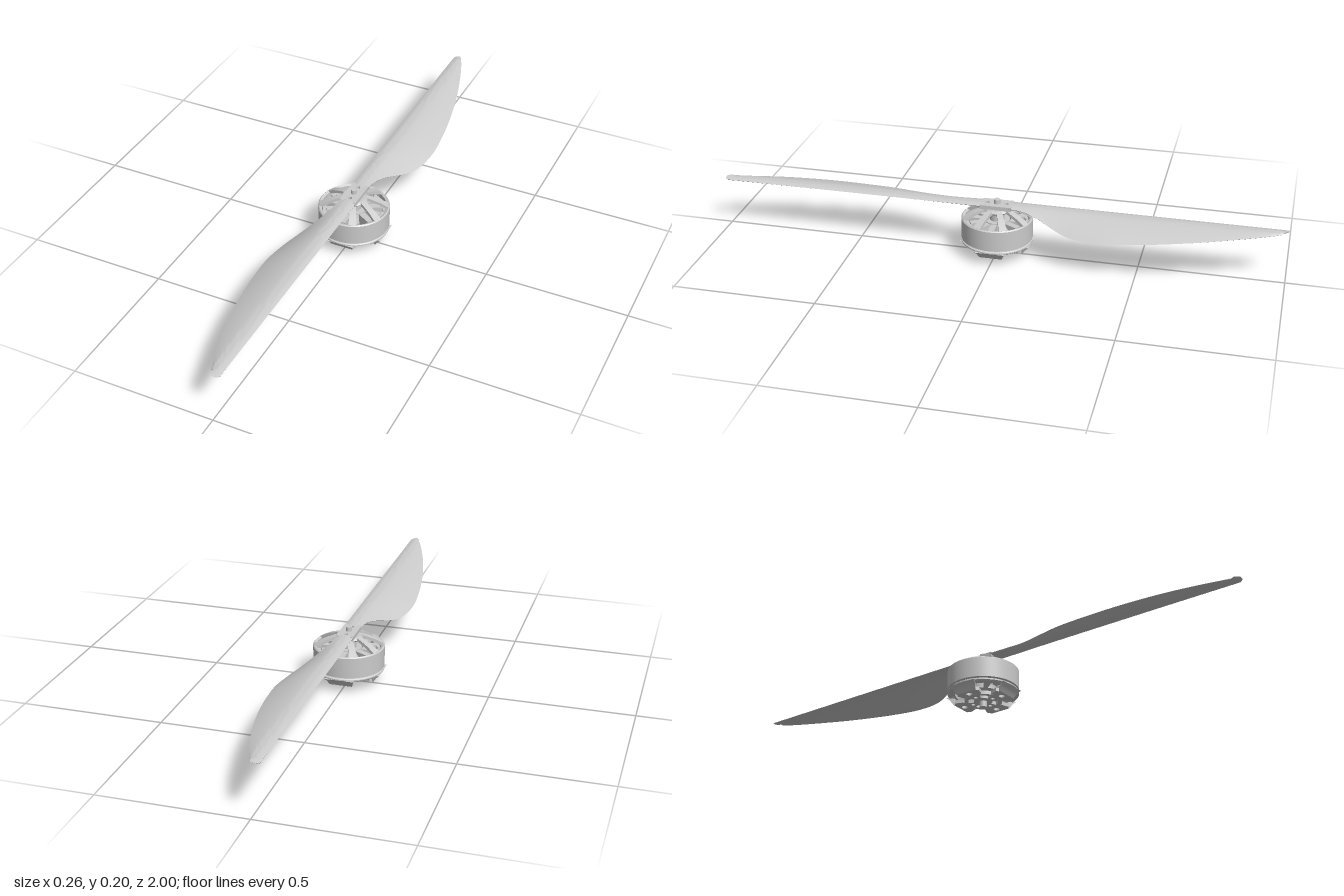
import * as THREE from 'three';
import { toCreasedNormals } from 'three/addons/utils/BufferGeometryUtils.js';

const material = new THREE.MeshStandardMaterial({ color: 0xcccccc, side: THREE.DoubleSide });
const V2 = (x, y) => new THREE.Vector2(x, y);

function add(parent, name, geometry) {
  const mesh = new THREE.Mesh(geometry, material);
  mesh.name = name;
  parent.add(mesh);
  return mesh;
}

// Vertical cylinder between two heights
function post(r, y0, y1, sides = 32) {
  return new THREE.CylinderGeometry(r, r, y1 - y0, sides).translate(0, (y0 + y1) / 2, 0);
}

// Closed profile of [radius, height] pairs turned about the y axis
function turned(points) {
  const profile = [...points, points[0]].map(([r, y]) => V2(r, y));
  return toCreasedNormals(new THREE.LatheGeometry(profile, 72), 0.5);
}

// Flat plate: plan outline in x, -z, raised from y0 to y1
function plate(shape, y0, y1) {
  return new THREE.ExtrudeGeometry(shape, { depth: y1 - y0, bevelEnabled: false, curveSegments: 24 })
    .rotateX(-Math.PI / 2).translate(0, y0, 0);
}

function hole(shape, x, y, r) {
  shape.holes.push(new THREE.Path().absarc(x, y, r, 0, Math.PI * 2, true));
}

// Curved slot between two radii and two angles
function arcSlot(shape, r0, r1, a0, a1) {
  const p = new THREE.Path();
  p.absarc(0, 0, r1, a0, a1, false);
  p.absarc(0, 0, r0, a1, a0, true);
  p.closePath();
  shape.holes.push(p);
}

// Radial arm: side profile in radius and height, width tapering with radius
function arm(points, widthAt) {
  const geo = new THREE.ExtrudeGeometry(new THREE.Shape(points.map(([r, y]) => V2(r, y))),
    { depth: 1, bevelEnabled: false }).translate(0, 0, -0.5);
  const p = geo.attributes.position;
  for (let i = 0; i < p.count; i++) p.setZ(i, p.getZ(i) * widthAt(p.getX(i)));
  return toCreasedNormals(geo, 0.5);
}

// Twisted, cambered blade pointing to -z, lofted from aerofoil sections
function bladeGeometry() {
  // distance from hub, trailing edge x, trailing edge height
  const keys = [[0.045, 0.03, 0.184], [0.1, 0.035, 0.18], [0.15, 0.051, 0.17], [0.2, 0.076, 0.154],
    [0.25, 0.1, 0.141], [0.3, 0.117, 0.136], [0.4, 0.13, 0.14], [0.5, 0.124, 0.147], [0.6, 0.111, 0.155],
    [0.7, 0.092, 0.163], [0.8, 0.067, 0.171], [0.9, 0.036, 0.178], [0.97, 0.01, 0.183], [1, -0.006, 0.185]];
  const curve = new THREE.CatmullRomCurve3(keys.map(k => new THREE.Vector3(...k)));
  const sections = 60, n = 16, ring = 2 * n, pos = [], index = [];
  for (let i = 0; i <= sections; i++) {
    const { x: d, y: trail, z: low } = curve.getPoint(i / sections);
    const tip = Math.max(0, (d - 0.985) / 0.015);
    const lead = -0.03 + 0.008 * tip * tip;
    const thick = (0.007 + 0.007 * Math.exp(-d * 8)) * (1 - 0.95 * tip * tip);
    for (let j = 0; j < ring; j++) {
      const t = j <= n ? j / n : (ring - j) / n;
      const u = (1 - Math.cos(Math.PI * t)) / 2;
      const x = lead + (trail - lead) * u;
      const s = trail > 0.005 ? Math.max(0, x) / trail : 0;
      let y = 0.19 - (0.19 - low) * Math.pow(s, 1.5) - 0.006 * Math.pow(Math.min(0, x) / 0.03, 2);
      if (j > n) y -= thick * Math.sqrt(Math.sin(Math.PI * u));
      pos.push(x, y, -d);
    }
  }
  for (let i = 0; i < sections; i++) {
    for (let j = 0; j < ring; j++) {
      const a = i * ring + j, b = i * ring + (j + 1) % ring;
      index.push(a, b, a + ring, b, b + ring, a + ring);
    }
  }
  const geo = new THREE.BufferGeometry();
  geo.setAttribute('position', new THREE.Float32BufferAttribute(pos, 3));
  geo.setIndex(index);
  return toCreasedNormals(geo, 0.7);
}

export function createModel() {
  const model = new THREE.Group();
  model.name = 'propellerMotor';

  // Propeller: two blades and a drilled hub
  const propeller = new THREE.Group();
  propeller.name = 'propeller';
  model.add(propeller);
  const blade = bladeGeometry();
  for (const a of [0, Math.PI]) add(propeller, 'blade', blade).rotation.y = a;
  const hub = new THREE.Shape([V2(-0.03, -0.055), V2(0.03, -0.055), V2(0.03, 0.055), V2(-0.03, 0.055)]);
  hole(hub, 0, 0, 0.011);
  for (const s of [-1, 1]) hole(hub, 0, s * 0.034, 0.007);
  add(propeller, 'propellerHub', plate(hub, 0.173, 0.188));

  // Shaft through the whole motor
  add(model, 'shaft', post(0.011, 0.02, 0.203));
  add(model, 'shaftEnd', post(0.013, 0, 0.03));

  // Rotor bell: outer ring, spokes and crown
  const bell = new THREE.Group();
  bell.name = 'bell';
  model.add(bell);
  add(bell, 'bellRing', turned([[0.113, 0.0625], [0.125, 0.0625], [0.125, 0.135], [0.121, 0.139], [0.113, 0.135]]));
  add(bell, 'bellCrown', turned([[0.011, 0.16], [0.042, 0.16], [0.048, 0.166], [0.042, 0.174], [0.011, 0.174]]));
  const spoke = arm([[0.036, 0.174], [0.052, 0.171], [0.09, 0.156], [0.122, 0.138], [0.122, 0.13],
    [0.113, 0.13], [0.085, 0.147], [0.052, 0.16], [0.036, 0.161]], r => 0.014 + 0.11 * r);
  for (let i = 0; i < 8; i++) add(bell, 'bellSpoke', spoke).rotation.y = (i + 0.5) * Math.PI / 4;

  // Stator: core, bearing tube and wound teeth
  const stator = new THREE.Group();
  stator.name = 'stator';
  model.add(stator);
  add(stator, 'bearingTube', post(0.026, 0.03, 0.16));
  add(stator, 'statorCore', post(0.045, 0.05, 0.128));
  for (let i = 0; i < 12; i++) {
    const tooth = new THREE.Group();
    tooth.name = 'statorTooth';
    tooth.rotation.y = i * Math.PI / 6;
    stator.add(tooth);
    add(tooth, 'coil', new THREE.BoxGeometry(0.05, 0.054, 0.022).translate(0.072, 0.1, 0));
    add(tooth, 'toothTip', new THREE.BoxGeometry(0.011, 0.046, 0.044).translate(0.103, 0.1, 0));
  }

  // Base: slotted top flange, four bent arms and a drilled mounting disc
  const base = new THREE.Group();
  base.name = 'base';
  model.add(base);
  add(base, 'baseRim', turned([[0.106, 0.049], [0.12, 0.047], [0.125, 0.051], [0.125, 0.055], [0.121, 0.058], [0.106, 0.058]]));
  const flange = new THREE.Shape().absarc(0, 0, 0.109, 0, Math.PI * 2, false);
  hole(flange, 0, 0, 0.02);
  for (let i = 0; i < 8; i++) arcSlot(flange, 0.058, 0.098, i * Math.PI / 4 + 0.13, (i + 1) * Math.PI / 4 - 0.13);
  add(base, 'baseFlange', plate(flange, 0.05, 0.057));
  const disc = new THREE.Shape().absarc(0, 0, 0.066, 0, Math.PI * 2, false);
  hole(disc, 0, 0, 0.013);
  for (let i = 0; i < 4; i++) {
    const a = i * Math.PI / 2;
    arcSlot(disc, 0.032, 0.052, a + 0.4, a + Math.PI / 2 - 0.4);
    hole(disc, 0.042 * Math.cos(a), 0.042 * Math.sin(a), 0.007);
  }
  add(base, 'mountingDisc', plate(disc, 0.022, 0.035));
  const pad = new THREE.Shape([V2(0.06, -0.036), V2(0.088, -0.046), V2(0.098, -0.035), V2(0.1, 0),
    V2(0.098, 0.035), V2(0.088, 0.046), V2(0.06, 0.036)]);
  hole(pad, 0.08, 0, 0.011);
  const padGeo = plate(pad, 0.022, 0.035);
  const riser = arm([[0.09, 0.022], [0.1, 0.022], [0.105, 0.03], [0.112, 0.041], [0.123, 0.05],
    [0.106, 0.053], [0.1, 0.044], [0.093, 0.034]], r => 0.07 + 1.1 * (r - 0.09));
  for (let i = 0; i < 4; i++) {
    const leg = new THREE.Group();
    leg.name = 'baseArm';
    leg.rotation.y = i * Math.PI / 2;
    base.add(leg);
    add(leg, 'armPad', padGeo);
    add(leg, 'armRiser', riser);
  }
  add(base, 'bearingSeat', post(0.026, 0.034, 0.056));

  return model;
}
